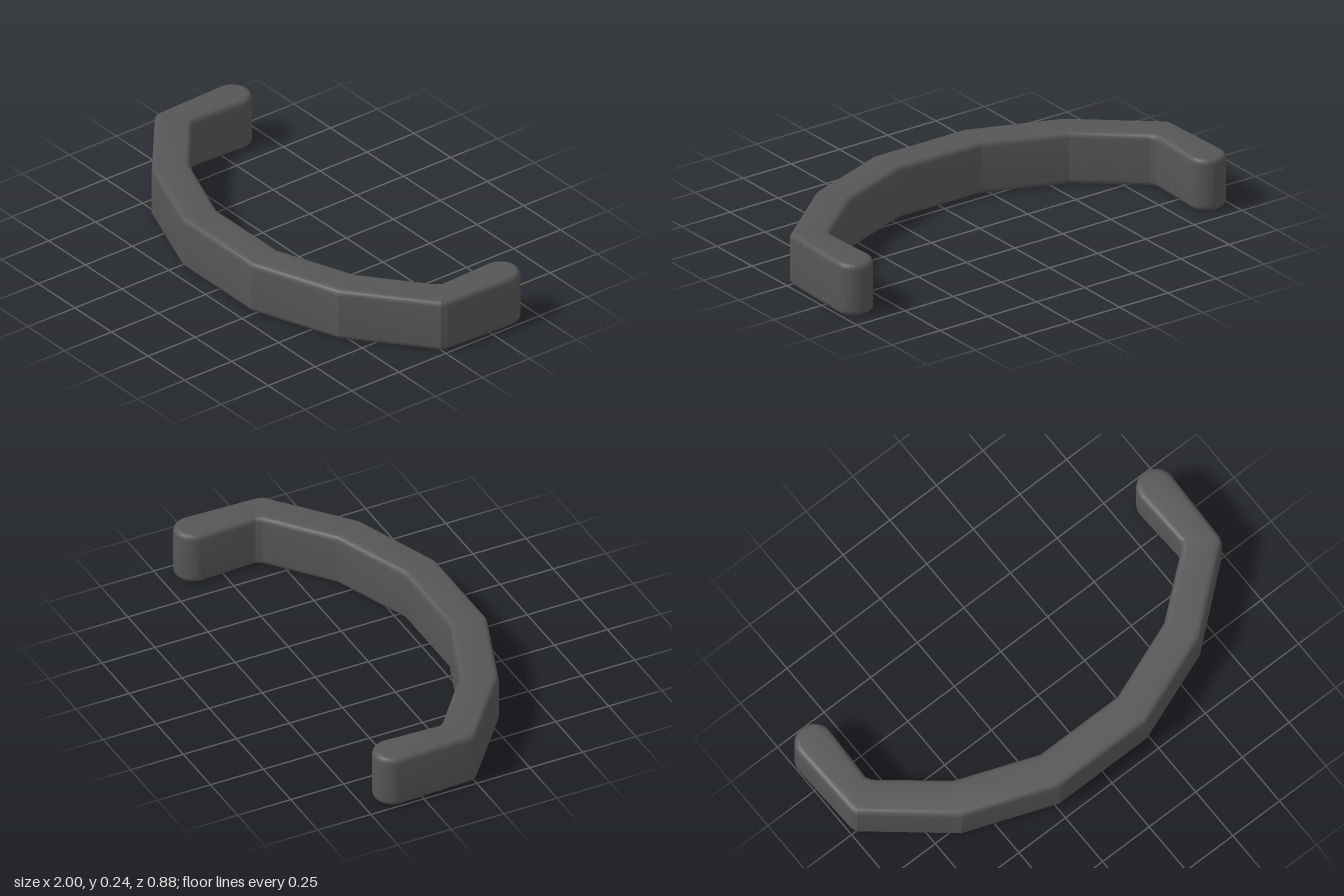
import * as THREE from 'three';
import { toCreasedNormals } from 'three/addons/utils/BufferGeometryUtils.js';

const HEIGHT = 0.24, BEVEL = 0.025;
const TIP = { x: 0.916, z: -0.357, r: 0.084 };

// Plan of the left half, from the front middle round the arm tip to the inner side
function halfOutline() {
  const pts = [[0.235, 0.44], [0.64, 0.288], [0.978, 0.008], [0.988, -0.018]];
  const steps = 12;
  for (let i = 0; i <= steps; i++) {
    const a = -Math.PI * i / steps;
    pts.push([TIP.x + TIP.r * Math.cos(a), TIP.z + TIP.r * Math.sin(a)]);
  }
  pts.push([0.843, -0.1], [0.828, -0.075], [0.565, 0.14], [0.207, 0.276]);
  return pts.map(([x, z]) => new THREE.Vector2(x, z));
}

export function createModel() {
  const group = new THREE.Group();
  group.name = 'curvedHandle';

  // Mirror the half plan to close the outline
  const half = halfOutline();
  const mirrored = half.map((p) => new THREE.Vector2(-p.x, p.y)).reverse();
  const shape = new THREE.Shape([...half, ...mirrored]);

  // Rounded-edge band, laid flat
  const band = new THREE.ExtrudeGeometry(shape, {
    depth: HEIGHT - 2 * BEVEL, bevelEnabled: true, bevelSize: BEVEL,
    bevelThickness: BEVEL, bevelOffset: -BEVEL, bevelSegments: 6,
  });
  band.rotateX(Math.PI / 2);
  band.translate(0, HEIGHT - BEVEL, 0);

  const mesh = new THREE.Mesh(
    toCreasedNormals(band, 0.29),
    new THREE.MeshStandardMaterial({ color: 0x555655 }),
  );
  mesh.name = 'band';
  group.add(mesh);
  return group;
}
